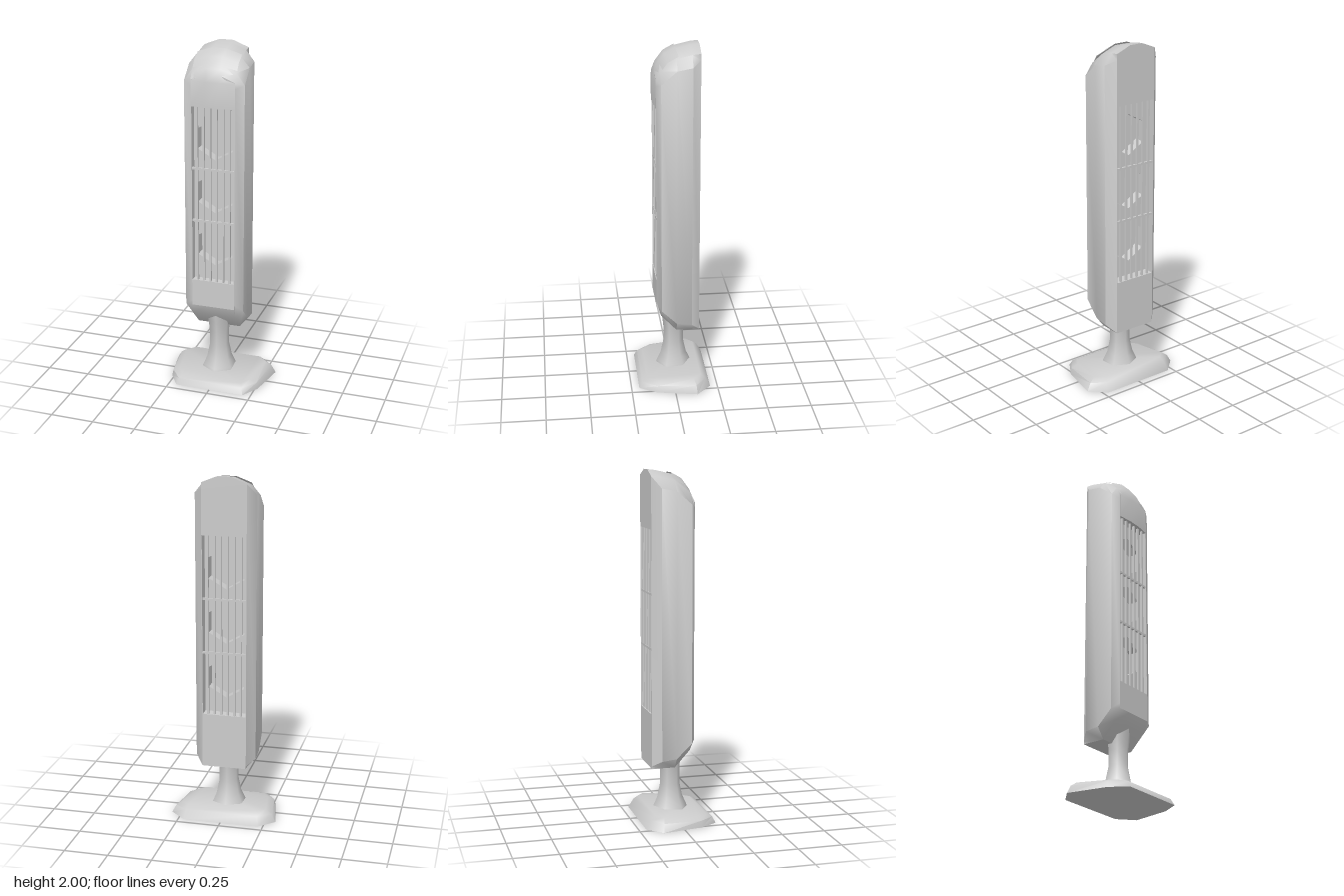
import * as THREE from 'three';
import { toCreasedNormals } from 'three/addons/utils/BufferGeometryUtils.js';

const grey = new THREE.MeshStandardMaterial({ color: 0xcccccc });
const thin = new THREE.MeshStandardMaterial({ color: 0xcccccc, side: THREE.DoubleSide });
const CX = -0.011; // the tower sits slightly off the middle of the base

function add(parent, name, geometry, material = grey, x = 0, y = 0, z = 0) {
  const mesh = new THREE.Mesh(geometry, material);
  mesh.name = name;
  mesh.position.set(x, y, z);
  parent.add(mesh);
  return mesh;
}

// Skin through rings of [x, y, z] points, counter-clockwise seen against the loft direction
function loft(rings, { closed = true, caps = false, crease = 0.8 } = {}) {
  const pos = [], n = rings[0].length;
  const tri = (a, b, c) => pos.push(...a, ...b, ...c);
  for (let i = 0; i < rings.length - 1; i++) {
    for (let j = 0; j < (closed ? n : n - 1); j++) {
      const k = (j + 1) % n, r = rings[i], s = rings[i + 1];
      tri(r[j], r[k], s[k]);
      tri(r[j], s[k], s[j]);
    }
  }
  if (caps) {
    const first = rings[0], last = rings[rings.length - 1];
    for (let j = 1; j < n - 1; j++) {
      tri(first[0], first[j + 1], first[j]);
      tri(last[0], last[j], last[j + 1]);
    }
  }
  const g = new THREE.BufferGeometry();
  g.setAttribute('position', new THREE.Float32BufferAttribute(pos, 3));
  return toCreasedNormals(g, crease);
}

// Twelve-sided upright outline of the housing at one depth
function outline({ z, w, top, shoulder, bottom, hip }) {
  const half = [[0.04, bottom], [0.127, bottom], [w, hip], [w, shoulder], [0.127, top - 0.035], [0.04, top]];
  const mirrored = half.map(([x, y]) => [-x, y]).reverse();
  return [...half, ...mirrored].map(([x, y]) => [CX + x, y, z]);
}

const HW = 0.124, Y0 = 0.64, Y1 = 1.675; // grille opening
const rect = (path) => {
  path.moveTo(CX - HW, Y0);
  path.lineTo(CX - HW, Y1);
  path.lineTo(CX + HW, Y1);
  path.lineTo(CX + HW, Y0);
  path.closePath();
  return path;
};

function createHousing() {
  const housing = new THREE.Group();
  housing.name = 'housing';
  const rings = [
    { z: -0.153, w: 0.127, top: 2.0, shoulder: 1.93, bottom: 0.325, hip: 0.34 },
    { z: -0.105, w: 0.174, top: 1.995, shoulder: 1.9, bottom: 0.325, hip: 0.375 },
    { z: -0.02, w: 0.174, top: 1.975, shoulder: 1.885, bottom: 0.325, hip: 0.385 },
    { z: 0.068, w: 0.174, top: 1.91, shoulder: 1.81, bottom: 0.42, hip: 0.47 },
    { z: 0.093, w: 0.127, top: 1.86, shoulder: 1.79, bottom: 0.48, hip: 0.51 },
  ].map(outline);
  add(housing, 'shell', loft(rings));

  // Front and back panels with the opening cut out
  for (const [name, ring] of [['backPanel', rings[0]], ['frontPanel', rings[4]]]) {
    const shape = new THREE.Shape(ring.map(([x, y]) => new THREE.Vector2(x, y)));
    shape.holes.push(rect(new THREE.Path()));
    add(housing, name, new THREE.ShapeGeometry(shape), thin, 0, 0, ring[0][2]);
  }

  // Walls of the opening
  const lining = [-0.153, 0.093].map((z) =>
    [[-HW, Y0], [HW, Y0], [HW, Y1], [-HW, Y1]].map(([x, y]) => [CX + x, y, z]));
  add(housing, 'openingLining', loft(lining), thin);

  // Bowed visor running from above the opening over the top
  const visor = [[1.675, 0.088], [1.675, 0.105], [1.82, 0.105], [1.89, 0.085], [1.95, 0.04], [1.983, -0.02]]
    .map(([y, z], i) => [-0.127, -0.04, 0.04, 0.127].map((x) => {
      const edge = Math.abs(x) > 0.1;
      return [CX + x, y - (edge && i > 2 ? 0.03 : 0), z - (edge && i > 0 ? 0.011 : 0)];
    }));
  add(housing, 'topVisor', loft(visor, { closed: false }), thin);
  return housing;
}

function createFans() {
  const fans = new THREE.Group();
  fans.name = 'fans';
  // Core block with three hexagonal ducts, blocked halfway
  const shape = rect(new THREE.Shape());
  for (const y of [0.845, 1.165, 1.48]) {
    const hex = new THREE.Path();
    for (let i = 0; i < 6; i++) {
      const a = Math.PI / 2 + i * Math.PI / 3;
      const p = [CX + 0.118 * Math.cos(a), y + 0.118 * Math.sin(a)];
      i ? hex.lineTo(...p) : hex.moveTo(...p);
    }
    hex.closePath();
    shape.holes.push(hex);
  }
  const core = new THREE.ExtrudeGeometry(shape, { depth: 0.14, bevelEnabled: false });
  add(fans, 'ductBlock', core, grey, 0, 0, -0.09);
  add(fans, 'ductDivider', new THREE.BoxGeometry(2 * HW, Y1 - Y0, 0.01), grey, CX, (Y0 + Y1) / 2, -0.02);
  return fans;
}

function createGrille(name, z) {
  const grille = new THREE.Group();
  grille.name = name;
  for (let i = 0; i < 6; i++) {
    const x = CX + (i - 2.5) * 0.038;
    add(grille, 'slat', new THREE.BoxGeometry(0.011, Y1 - Y0, 0.012), grey, x, (Y0 + Y1) / 2, z);
  }
  for (const y of [1.005, 1.315]) {
    add(grille, 'crossBar', new THREE.BoxGeometry(2 * HW, 0.012, 0.012), grey, CX, y, z);
  }
  return grille;
}

function createStand() {
  const stand = new THREE.Group();
  stand.name = 'stand';
  // Flared six-sided neck with an edge facing forward
  const profile = [[0.105, 0.045], [0.098, 0.07], [0.075, 0.12], [0.058, 0.2], [0.058, 0.29], [0.066, 0.36], [0.075, 0.43]]
    .map(([r, y]) => new THREE.Vector2(r, y));
  add(stand, 'neck', new THREE.LatheGeometry(profile, 6), thin, -0.008, 0, -0.015);

  // Wedge-shaped foot: half outlines listed from front to back, then mirrored
  const ring = (half) => [...half, ...half.map(([x, y, z]) => [-x, y, z]).reverse()];
  const foot = [
    [[0.203, 0, 0.205], [0.265, 0, 0.105], [0.31, 0, -0.125], [0.22, 0, -0.208]],
    [[0.192, 0.035, 0.187], [0.258, 0.037, 0.103], [0.285, 0.045, -0.12], [0.213, 0.05, -0.18]],
    [[0.18, 0.05, 0.155], [0.218, 0.054, 0.1], [0.25, 0.07, -0.11], [0.2, 0.073, -0.153]],
  ].map(ring);
  add(stand, 'foot', loft(foot, { caps: true, crease: 0.9 }));
  return stand;
}

export function createModel() {
  const model = new THREE.Group();
  model.name = 'towerFan';
  model.add(
    createStand(),
    createHousing(),
    createFans(),
    createGrille('frontGrille', 0.083),
    createGrille('backGrille', -0.143),
  );
  return model;
}
